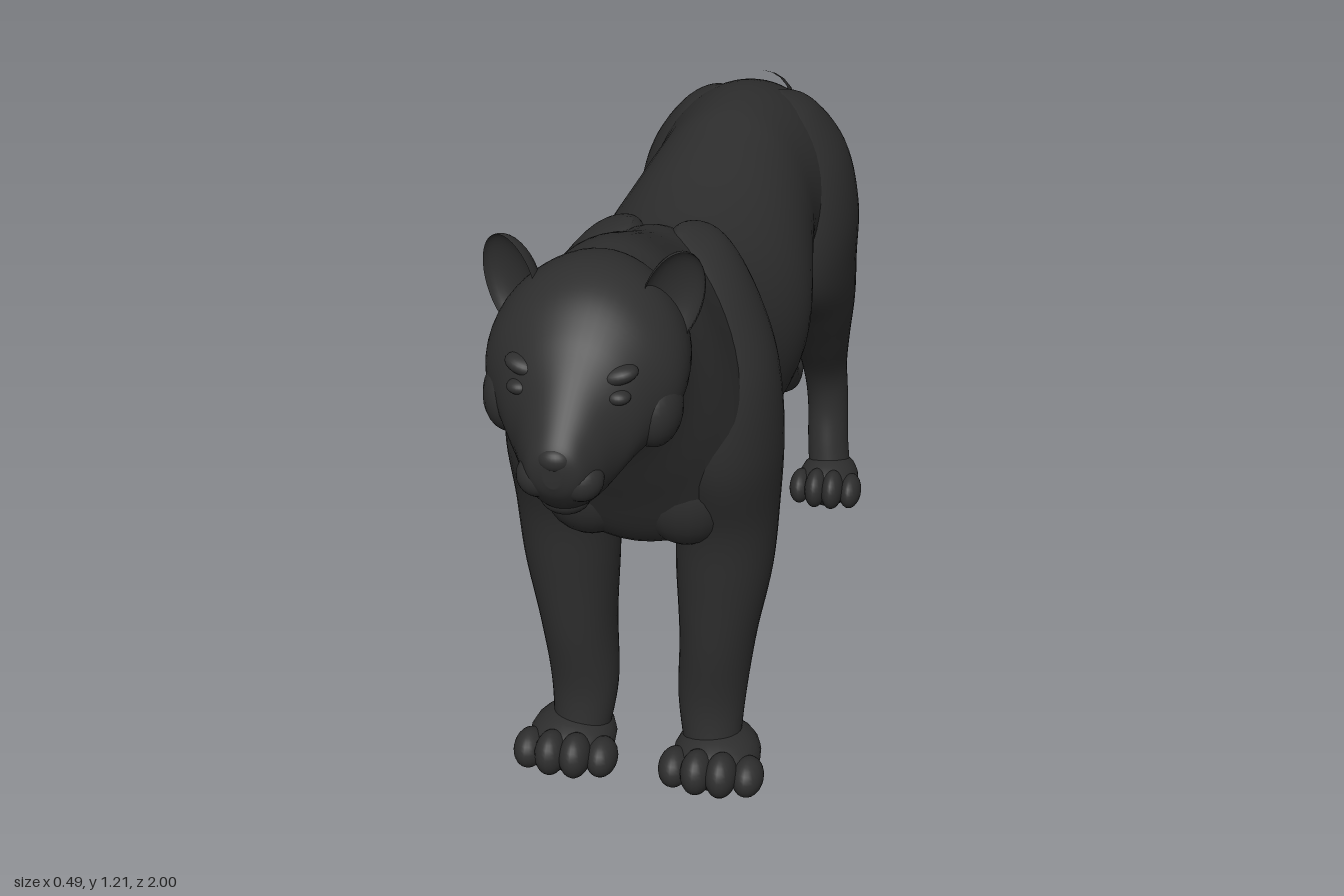
import * as THREE from 'three';

const fur = new THREE.MeshStandardMaterial({ color: 0x2e2e2e });
fur.name = 'blackFur';

// Catmull-Rom blend of a list of equal-length number rows
function sample(keys, t) {
  const f = t * (keys.length - 1), i = Math.min(Math.floor(f), keys.length - 2), u = f - i;
  const at = (k) => keys[Math.max(0, Math.min(keys.length - 1, k))];
  const [a, b, c, d] = [at(i - 1), at(i), at(i + 1), at(i + 2)];
  return b.map((_, n) => 0.5 * (2 * b[n] + (c[n] - a[n]) * u
    + (2 * a[n] - 5 * b[n] + 4 * c[n] - d[n]) * u * u
    + (3 * b[n] - a[n] - 3 * c[n] + d[n]) * u * u * u));
}

// Smooth closed skin through rings; ring(row, angle) gives a point
function loft(keys, ring, segs = 40) {
  const steps = (keys.length - 1) * 6, pos = [], idx = [];
  for (let i = 0; i <= steps; i++) {
    const row = sample(keys, i / steps);
    for (let j = 0; j < segs; j++) pos.push(...ring(row, (j / segs) * Math.PI * 2));
  }
  for (let i = 0; i < steps; i++) for (let j = 0; j < segs; j++) {
    const a = i * segs + j, b = i * segs + (j + 1) % segs;
    idx.push(a, b, a + segs, b, b + segs, a + segs);
  }
  // end caps as fans
  const last = steps * segs;
  for (let j = 1; j < segs - 1; j++) idx.push(0, j + 1, j, last, last + j, last + j + 1);
  const g = new THREE.BufferGeometry();
  g.setAttribute('position', new THREE.Float32BufferAttribute(pos, 3));
  g.setIndex(idx);
  g.computeVertexNormals();
  return g;
}

// row: z, top, bottom, half width, narrowing towards the top
const uprightRing = ([z, top, bot, w, taper], a) => [
  w * Math.cos(a) * (1 - taper * Math.sin(a)),
  (top + bot) / 2 + (top - bot) / 2 * Math.sin(a), z];
// row: y, x, z, half width, half depth
const levelRing = ([y, x, z, rx, rz], a) => [x + rx * Math.cos(a), y, z - rz * Math.sin(a)];

function part(parent, name, geometry) {
  const m = new THREE.Mesh(geometry, fur);
  m.name = name;
  parent.add(m);
  return m;
}

function blob(parent, name, p, r) {
  const m = part(parent, name, new THREE.SphereGeometry(1, 24, 16));
  m.position.set(...p);
  m.scale.set(...r);
  return m;
}

// Paw with a flat sole and four toes
function paw(parent, name, x, z, w, len) {
  const g = new THREE.Group();
  g.name = name;
  g.position.set(x, 0, z);
  parent.add(g);
  const lump = (n, p, r) => {
    const s = new THREE.SphereGeometry(1, 20, 14).scale(...r).translate(...p);
    const v = s.attributes.position;
    for (let i = 0; i < v.count; i++) v.setY(i, Math.max(0, v.getY(i)));
    s.computeVertexNormals();
    part(g, n, s);
  };
  lump('pad', [0, 0.035, -0.01], [w * 0.85, 0.052, len * 0.92]);
  for (const k of [-1.5, -0.5, 0.5, 1.5]) {
    const outer = Math.abs(k) > 1;
    lump('toe', [k * w * 0.48, outer ? 0.032 : 0.042, len - (outer ? 0.06 : 0.04)],
      [w * 0.31, outer ? 0.036 : 0.042, 0.043]);
  }
}

export function createModel() {
  const cat = new THREE.Group();
  cat.name = 'bigCat';

  // Trunk and neck, rump to throat
  part(cat, 'body', loft([
    [-0.69, 0.85, 0.75, 0.02, 0], [-0.66, 0.90, 0.69, 0.09, 0], [-0.58, 0.95, 0.62, 0.15, 0.05],
    [-0.46, 0.99, 0.59, 0.18, 0.1], [-0.32, 1.0, 0.585, 0.17, 0.05], [-0.2, 0.985, 0.555, 0.185, 0],
    [0, 0.962, 0.485, 0.215, 0], [0.2, 0.97, 0.477, 0.19, 0.05], [0.3, 1.035, 0.47, 0.19, 0.2],
    [0.4, 1.07, 0.475, 0.2, 0.2], [0.5, 1.115, 0.52, 0.195, 0.18], [0.57, 1.143, 0.645, 0.172, 0.1],
    [0.63, 1.155, 0.76, 0.14, 0], [0.69, 1.15, 0.85, 0.11, 0], [0.74, 1.1, 0.92, 0.04, 0],
  ], uprightRing, 56));

  // Head
  const head = new THREE.Group();
  head.name = 'head';
  cat.add(head);
  part(head, 'skull', loft([
    [0.6, 1.1, 0.92, 0.05, 0], [0.66, 1.16, 0.875, 0.13, 0.05], [0.74, 1.178, 0.885, 0.158, 0.05],
    [0.81, 1.16, 0.88, 0.157, 0.08], [0.87, 1.115, 0.865, 0.122, 0.02], [0.915, 1.062, 0.842, 0.085, 0],
    [0.955, 1.015, 0.855, 0.062, 0], [0.985, 0.98, 0.89, 0.042, 0], [0.996, 0.96, 0.915, 0.015, 0],
  ], uprightRing, 48));
  blob(head, 'nose', [0, 0.958, 0.98], [0.027, 0.02, 0.02]);
  blob(head, 'chin', [0, 0.862, 0.925], [0.04, 0.028, 0.035]);

  for (const s of [-1, 1]) {
    blob(head, 'muzzlePad', [s * 0.033, 0.912, 0.952], [0.036, 0.036, 0.036]);
    blob(head, 'cheek', [s * 0.115, 0.97, 0.81], [0.045, 0.065, 0.06]);
    blob(head, 'eye', [s * 0.078, 1.028, 0.893], [0.02, 0.012, 0.018]);
    blob(head, 'brow', [s * 0.072, 1.056, 0.873], [0.034, 0.016, 0.026]).rotation.z = s * 0.25;
    // Ear: an ellipsoid whose front is pushed in to make a cup
    const ear = new THREE.SphereGeometry(1, 24, 20);
    const v = ear.attributes.position;
    for (let i = 0; i < v.count; i++) if (v.getZ(i) > 0) v.setZ(i, v.getZ(i) * -0.55);
    ear.scale(0.048, 0.085, 0.05);
    ear.computeVertexNormals();
    const e = part(head, 'ear', ear);
    e.position.set(s * 0.13, 1.125, 0.75);
    e.rotation.set(0, s * 0.35, -s * 0.3);
  }

  for (const s of [-1, 1]) {
    // Foreleg rising into the shoulder blade
    part(cat, 'foreLeg', loft([
      [0.03, 0.125, 0.42, 0.05, 0.055], [0.14, 0.12, 0.402, 0.062, 0.06],
      [0.28, 0.13, 0.397, 0.07, 0.083], [0.42, 0.14, 0.393, 0.086, 0.1],
      [0.55, 0.145, 0.395, 0.092, 0.115], [0.7, 0.142, 0.41, 0.102, 0.15],
      [0.84, 0.125, 0.4, 0.102, 0.155], [0.95, 0.095, 0.365, 0.082, 0.13],
      [1.02, 0.07, 0.33, 0.05, 0.08], [1.045, 0.05, 0.32, 0.01, 0.02],
    ].map(([y, x, ...r]) => [y, s * x, ...r]), levelRing));
    blob(cat, 'dewClaw', [s * 0.1, 0.12, 0.345], [0.018, 0.025, 0.02]);
    blob(cat, 'chestMuscle', [s * 0.085, 0.63, 0.465], [0.095, 0.12, 0.085]);
    paw(cat, 'forePaw', s * 0.137, 0.445, 0.095, 0.105);

    // Hind leg: the right one steps forward by the last number in each row
    const stride = s < 0 ? 1 : 0;
    part(cat, 'hindLeg', loft([
      [0.03, 0.165, -0.6, 0.045, 0.05, 0.17], [0.11, 0.155, -0.62, 0.043, 0.05, 0.16],
      [0.2, 0.148, -0.645, 0.043, 0.056, 0.13], [0.28, 0.14, -0.645, 0.046, 0.075, 0.125],
      [0.38, 0.14, -0.595, 0.058, 0.095, 0.095], [0.49, 0.14, -0.545, 0.073, 0.13, 0.05],
      [0.6, 0.137, -0.495, 0.083, 0.165, 0.02], [0.72, 0.132, -0.485, 0.09, 0.172, 0],
      [0.84, 0.11, -0.485, 0.085, 0.15, 0], [0.93, 0.08, -0.475, 0.055, 0.1, 0],
      [0.97, 0.06, -0.47, 0.01, 0.02, 0],
    ].map(([y, x, z, rx, rz, step]) => [y, s * x, z + step * stride, rx, rz]), levelRing));
    paw(cat, 'hindPaw', s * 0.165, -0.57 + 0.175 * stride, 0.075, 0.09);
  }

  // Tail: a tube thinned along its length, curling up at the tip
  const path = new THREE.CatmullRomCurve3([
    [0.9, -0.58], [0.86, -0.665], [0.74, -0.73], [0.5, -0.765], [0.33, -0.79],
    [0.2, -0.828], [0.12, -0.875], [0.092, -0.92], [0.112, -0.957],
  ].map(([y, z]) => new THREE.Vector3(0, y, z)));
  const rings = 60, sides = 20;
  const tail = new THREE.TubeGeometry(path, rings, 1, sides);
  const tp = tail.attributes.position, p = new THREE.Vector3();
  for (let i = 0; i <= rings; i++) {
    const c = path.getPointAt(i / rings);
    const r = 0.041 + 0.025 * Math.pow(1 - i / rings, 2.5);
    for (let j = 0; j <= sides; j++) {
      const k = i * (sides + 1) + j;
      p.fromBufferAttribute(tp, k).sub(c).multiplyScalar(r).add(c);
      tp.setXYZ(k, p.x, p.y, p.z);
    }
  }
  part(cat, 'tail', tail);
  blob(cat, 'tailTip', [0, 0.113, -0.957], [0.042, 0.042, 0.042]);

  return cat;
}
